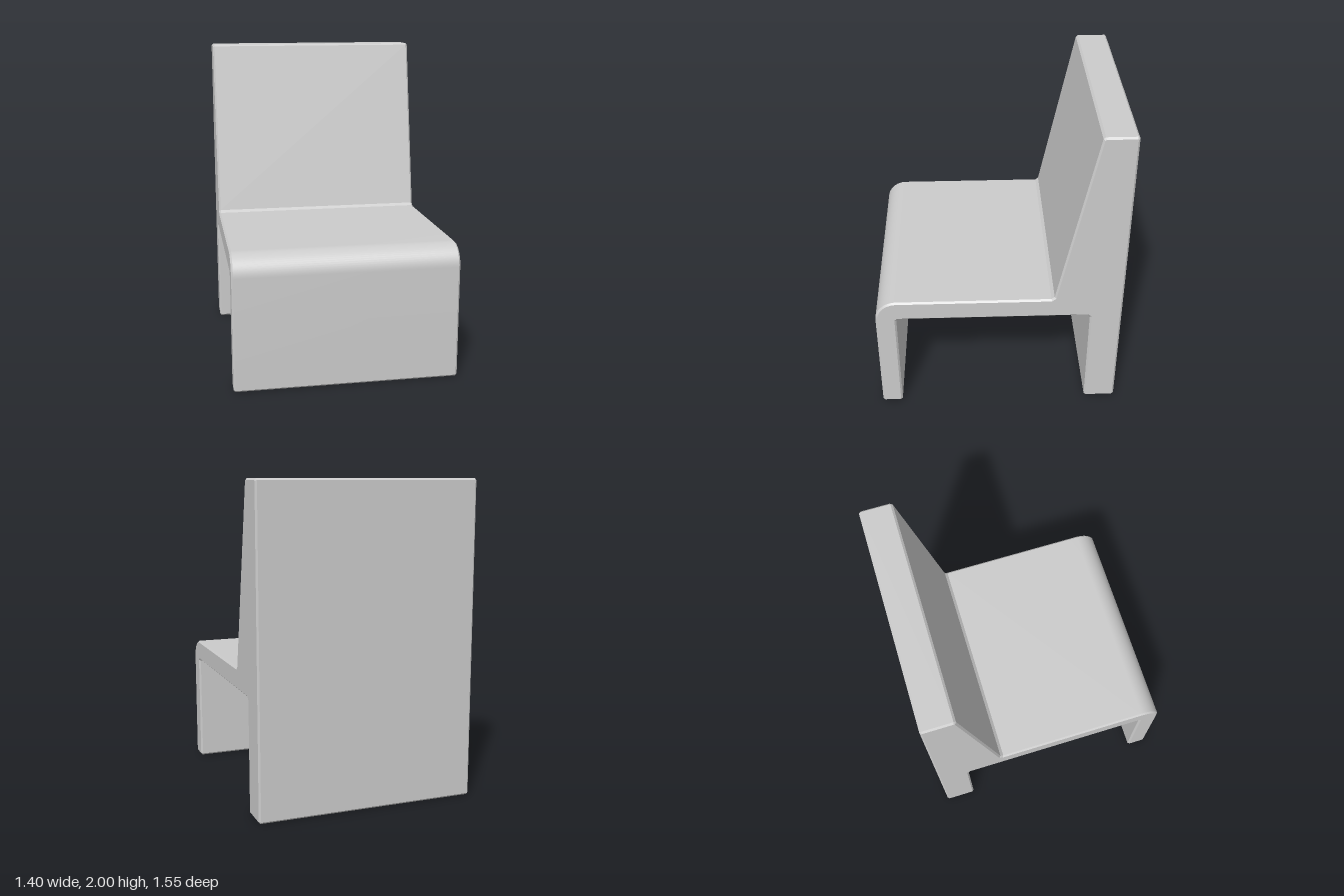
import * as THREE from 'three';
import { toCreasedNormals } from 'three/addons/utils/BufferGeometryUtils.js';

const WIDTH = 1.4;
const BEVEL = 0.011;

// Side outline as [z, y, chamfer], anticlockwise; the front edge is a large round
const corners = [
  [-0.775, 0, BEVEL],
  [-0.575, 0, BEVEL],
  [-0.575, 0.715, 0.016], // under the seat, rear
  [0.645, 0.715, 0.01],   // under the seat, front
  [0.645, 0, BEVEL],
  [0.775, 0, BEVEL],
  [0.775, 0.85, 0.135, 16], // rounded front edge of the seat
  [-0.343, 0.85, 0.016],  // seat meets sloping backrest
  [-0.573, 2, BEVEL],
  [-0.775, 2, BEVEL],
];

// Cuts each corner with a flat chamfer, or an arc where a segment count is given
function chamferedOutline(list) {
  const n = list.length;
  const at = (i) => new THREE.Vector2(...list[(i + n) % n].slice(0, 2));
  const points = [];
  list.forEach(([, , size, segments], i) => {
    const p = at(i);
    const a = at(i - 1).sub(p).setLength(size).add(p);
    const b = at(i + 1).sub(p).setLength(size).add(p);
    if (!segments) {
      points.push(a, b);
      return;
    }
    const centre = a.clone().add(b).sub(p);
    for (let k = 0; k <= segments; k++) {
      const t = (k / segments) * Math.PI / 2;
      points.push(centre.clone()
        .addScaledVector(a.clone().sub(centre), Math.cos(t))
        .addScaledVector(b.clone().sub(centre), Math.sin(t)));
    }
  });
  return new THREE.Shape(points);
}

export function createModel() {
  const group = new THREE.Group();
  group.name = 'chair';

  // One continuous slab: front leg, seat, backrest and rear leg
  const depth = WIDTH - 2 * BEVEL;
  const geometry = new THREE.ExtrudeGeometry(chamferedOutline(corners), {
    depth,
    bevelEnabled: true,
    bevelThickness: BEVEL,
    bevelSize: BEVEL,
    bevelOffset: -BEVEL,
    bevelSegments: 1,
  });
  geometry.translate(0, 0, -depth / 2);
  geometry.rotateY(-Math.PI / 2);

  const frame = new THREE.Mesh(
    toCreasedNormals(geometry, 0.3),
    new THREE.MeshStandardMaterial({ color: 0xcccccc }),
  );
  frame.name = 'seatBackAndLegs';
  group.add(frame);
  return group;
}
